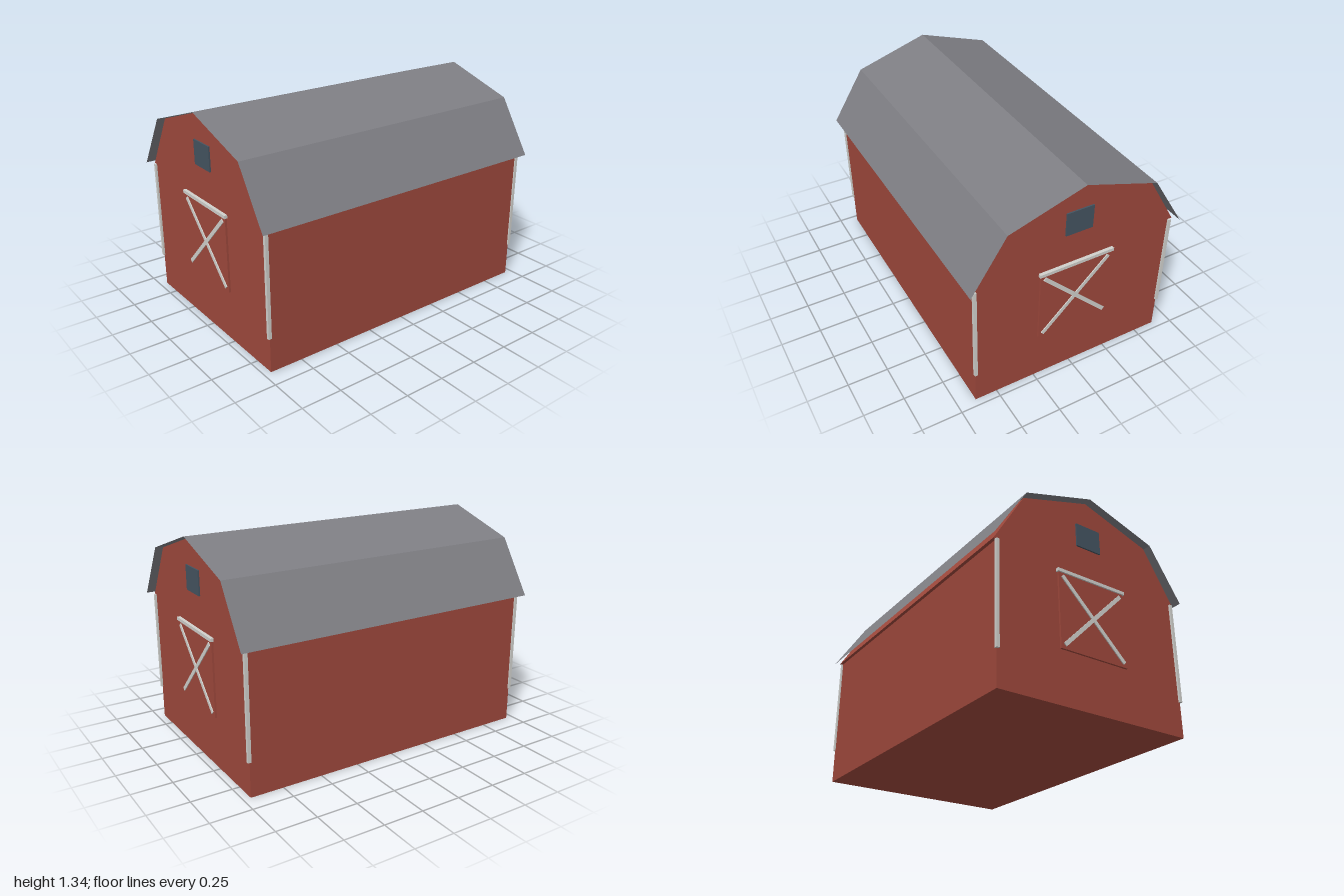
import * as THREE from 'three';

const red = new THREE.MeshStandardMaterial({ name: 'barnRed', color: 0x9e483c });
const grey = new THREE.MeshStandardMaterial({ name: 'roofGrey', color: 0x7e7e83, side: THREE.DoubleSide });
const white = new THREE.MeshStandardMaterial({ name: 'trimWhite', color: 0xd0d0cc });
const blue = new THREE.MeshStandardMaterial({ name: 'windowBlue', color: 0x445360 });

const WALL_Z = 0.955;

function box(name, material, size, position, parent) {
  const mesh = new THREE.Mesh(new THREE.BoxGeometry(...size), material);
  mesh.name = name;
  mesh.position.set(...position);
  parent.add(mesh);
  return mesh;
}

// Gambrel-shaped body running front to back
function makeBody() {
  const half = [[0.638, 0], [0.638, 0.85], [0.658, 0.85], [0.454, 1.19]];
  const mirrored = half.map(([x, y]) => [-x, y]).reverse();
  const points = [...half, [0, 1.336], ...mirrored].map(([x, y]) => new THREE.Vector2(x, y));
  const geometry = new THREE.ExtrudeGeometry(new THREE.Shape(points), { depth: 2 * WALL_Z, bevelEnabled: false });
  geometry.translate(0, 0, -WALL_Z);
  const body = new THREE.Mesh(geometry, red);
  body.name = 'barnBody';
  return body;
}

// Thin folded roof sheet, one flat panel per slope
function makeRoof() {
  const roof = new THREE.Group();
  roof.name = 'roof';
  const profile = [[0.68, 0.856], [0.466, 1.193], [0, 1.342], [-0.466, 1.193], [-0.68, 0.856]];
  for (let i = 0; i < profile.length - 1; i++) {
    const [x0, y0] = profile[i];
    const [x1, y1] = profile[i + 1];
    const geometry = new THREE.BufferGeometry();
    geometry.setAttribute('position', new THREE.Float32BufferAttribute(
      [x0, y0, 1, x0, y0, -1, x1, y1, -1, x1, y1, 1], 3));
    geometry.setIndex([0, 1, 2, 0, 2, 3]);
    geometry.computeVertexNormals();
    const panel = new THREE.Mesh(geometry, grey);
    panel.name = 'roofPanel';
    roof.add(panel);
  }
  return roof;
}

// Door, header, cross braces and loft window of one gable end
function makeGableDetails(name) {
  const end = new THREE.Group();
  end.name = name;
  box('door', red, [0.468, 0.465, 0.012], [0, 0.553, WALL_Z + 0.006], end);
  box('doorHeader', white, [0.484, 0.02, 0.02], [0, 0.796, WALL_Z + 0.01], end);
  for (const side of [-1, 1]) {
    const brace = box('doorBrace', white, [0.594, 0.024, 0.009], [0, 0.555, WALL_Z + 0.0135], end);
    brace.rotation.z = side * Math.PI / 4;
    if (side > 0) brace.position.z -= 0.0005;
  }
  box('loftWindow', blue, [0.172, 0.15, 0.009], [0, 1.086, WALL_Z + 0.0045], end);
  return end;
}

export function createModel() {
  const barn = new THREE.Group();
  barn.name = 'barn';
  barn.add(makeBody(), makeRoof());

  const front = makeGableDetails('frontDetails');
  const back = makeGableDetails('backDetails');
  back.rotation.y = Math.PI;
  barn.add(front, back);

  // Corner trim posts
  for (const x of [-1, 1]) {
    for (const z of [-1, 1]) {
      box('cornerPost', white, [0.019, 0.635, 0.02], [x * 0.6365, 0.5325, z * 0.957], barn);
    }
  }
  return barn;
}
